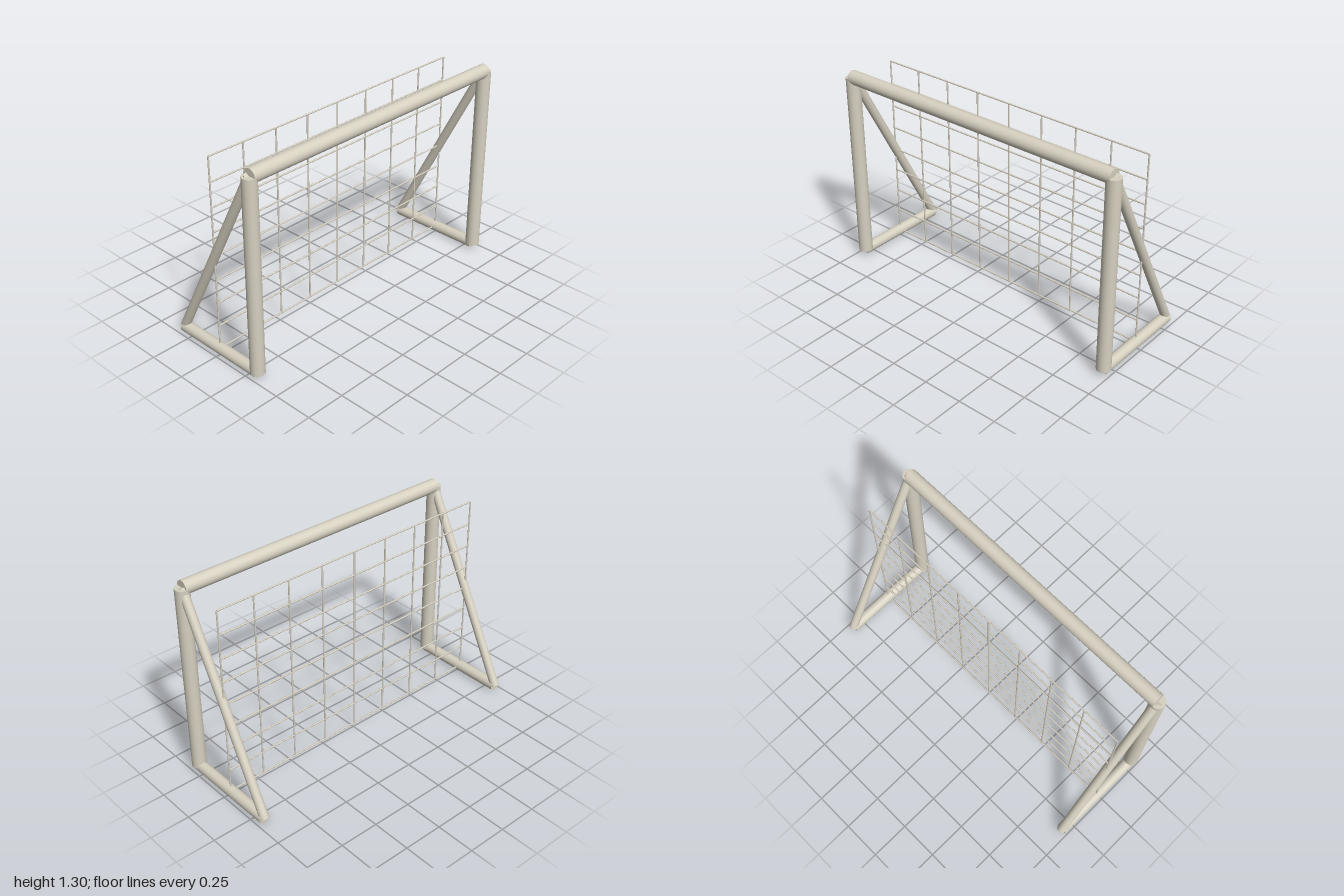
import * as THREE from 'three';

export function createModel() {
  const goal = new THREE.Group();
  goal.name = 'goal';
  const paint = new THREE.MeshStandardMaterial({ color: 0xd6d0c0 });
  paint.name = 'cream paint';

  const halfWidth = 0.956, top = 1.255, base = 0.035;
  const frontZ = 0.306, backZ = -0.325, netZ = -0.01;

  // Round capped bar between two points
  function bar(name, from, to, radius, sides, parent) {
    const a = new THREE.Vector3(...from), b = new THREE.Vector3(...to);
    const dir = b.clone().sub(a);
    const mesh = new THREE.Mesh(new THREE.CylinderGeometry(radius, radius, dir.length(), sides), paint);
    mesh.position.copy(a).add(b).multiplyScalar(0.5);
    mesh.quaternion.setFromUnitVectors(new THREE.Vector3(0, 1, 0), dir.normalize());
    mesh.name = name;
    parent.add(mesh);
  }

  // Front frame
  bar('crossbar', [-halfWidth, top, frontZ], [halfWidth, top, frontZ], 0.044, 32, goal);

  // Posts, ground runners and slanted braces on both sides
  for (const [side, s] of [['left', 1], ['right', -1]]) {
    const x = s * halfWidth;
    bar(side + 'Post', [x, base, frontZ], [x, top, frontZ], 0.044, 32, goal);
    bar(side + 'Runner', [x, base, frontZ], [x, base, backZ], 0.035, 32, goal);
    bar(side + 'Brace', [x, top, frontZ], [x, base, backZ], 0.028, 32, goal);
  }

  // Upright net grid of thin rods
  const net = new THREE.Group();
  net.name = 'net';
  goal.add(net);
  const cells = 8;
  for (let i = 0; i <= cells; i++) {
    const x = THREE.MathUtils.lerp(-halfWidth, halfWidth, i / cells);
    const y = THREE.MathUtils.lerp(base, top, i / cells);
    bar('netUpright', [x, base, netZ], [x, top, netZ], 0.005, 8, net);
    bar('netCrossStrand', [-halfWidth, y, netZ], [halfWidth, y, netZ], 0.005, 8, net);
  }
  return goal;
}
